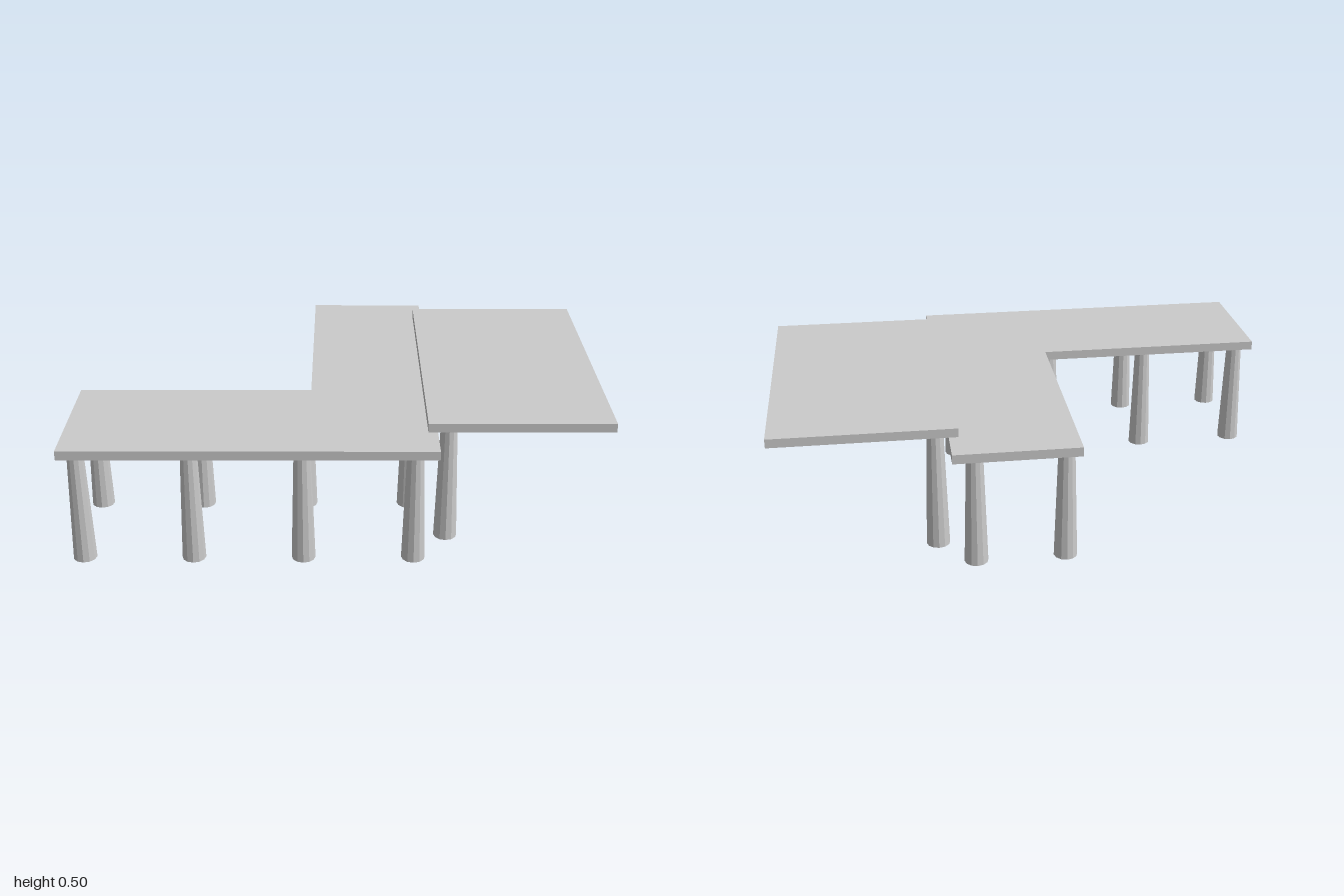
import * as THREE from 'three';

export function createModel() {
  const model = new THREE.Group();
  const material = new THREE.MeshStandardMaterial({ color: 0xcccccc, flatShading: true });

  const add = (name, geometry, x, y, z) => {
    const mesh = new THREE.Mesh(geometry, material);
    mesh.name = name;
    mesh.position.set(x, y, z);
    model.add(mesh);
  };

  // L-shaped lower deck, drawn in (x, -z) and laid flat
  const outline = [[-1, -0.71], [0.355, -0.71], [0.355, 0.71], [-0.11, 0.71], [-0.11, -0.2], [-1, -0.2]];
  const lowerDeck = new THREE.ExtrudeGeometry(
    new THREE.Shape(outline.map(([x, y]) => new THREE.Vector2(x, y))),
    { depth: 0.035, bevelEnabled: false }
  );
  lowerDeck.rotateX(-Math.PI / 2);
  add('lowerDeck', lowerDeck, 0, 0.43, 0);

  // Raised deck overlapping the lower one
  add('upperDeck', new THREE.BoxGeometry(0.68, 0.034, 1.135), 0.66, 0.484, -0.003);

  // Tapered round posts
  const addPost = (name, x, z, height) =>
    add(name, new THREE.CylinderGeometry(0.031, 0.044, height, 12), x, height / 2, z);

  for (const x of [-0.94, -0.537, -0.133, 0.271]) {
    for (const z of [0.657, 0.26]) addPost('lowerPost', x, z, 0.43);
  }
  for (const x of [-0.06, 0.271]) addPost('backPost', x, -0.648, 0.43);
  for (const z of [0.5, -0.5]) addPost('upperPost', 0.4, z, 0.457);

  return model;
}
